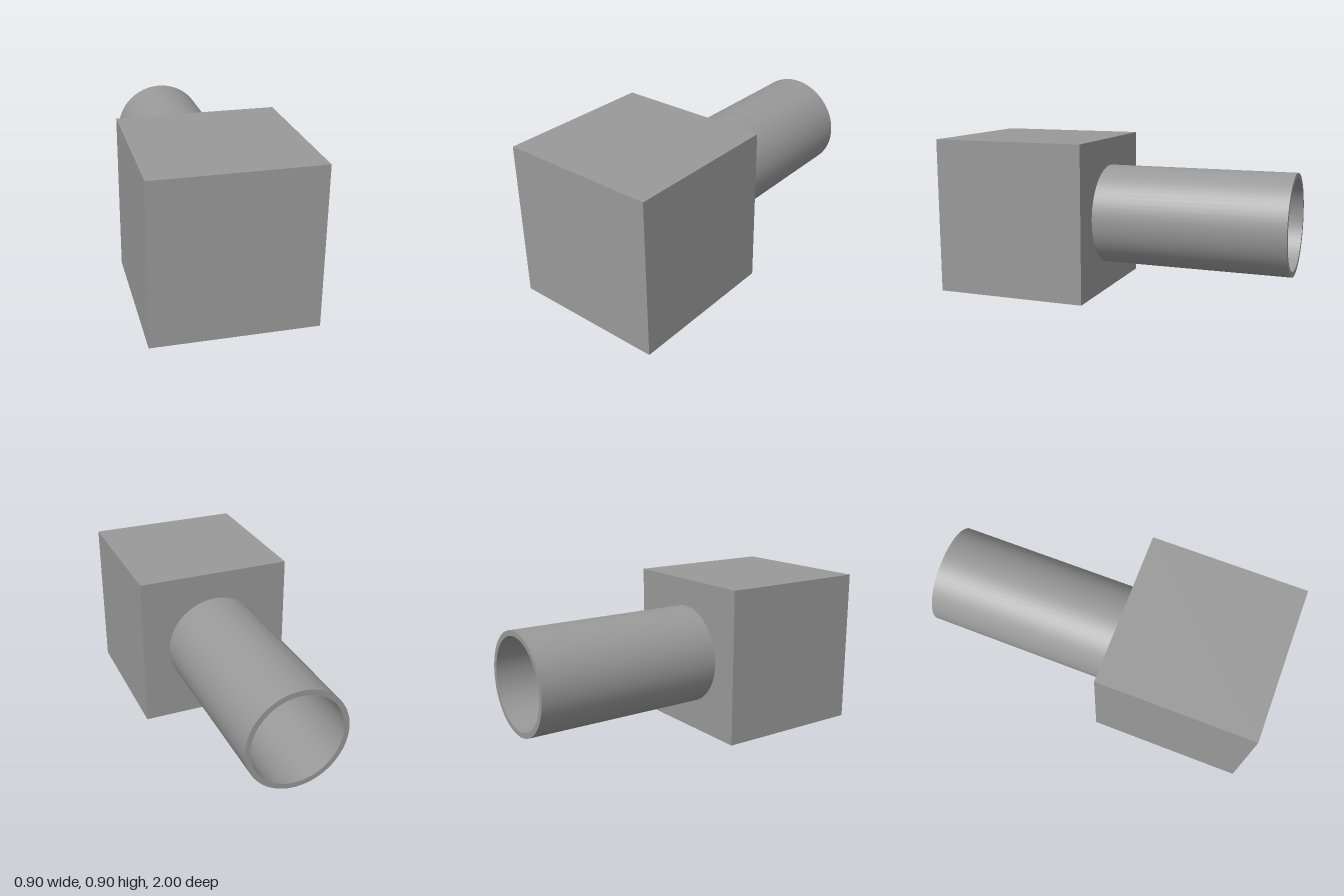
import * as THREE from 'three';
import { mergeGeometries } from 'three/addons/utils/BufferGeometryUtils.js';

export function createModel() {
  const model = new THREE.Group();
  model.name = 'blockWithTube';
  const grey = new THREE.MeshStandardMaterial({ color: 0x999999 });
  grey.name = 'grey';

  const size = 0.9, outer = 0.29, inner = 0.26;
  const length = 1.1; // tube reach behind the block

  // Cube at the front
  const block = new THREE.Mesh(new THREE.BoxGeometry(size, size, size), grey);
  block.name = 'block';
  block.position.set(0, size / 2, 1 - size / 2);
  model.add(block);

  // Hollow tube: outer wall, end rim and bore, lathed separately to keep the rim sharp
  const profile = [[outer, 0], [outer, length], [inner, length], [inner, 0]]
    .map(([r, y]) => new THREE.Vector2(r, y));
  const walls = [0, 1, 2].map(i => new THREE.LatheGeometry(profile.slice(i, i + 2), 64));
  const tube = new THREE.Mesh(mergeGeometries(walls), grey);
  tube.name = 'tube';
  tube.rotation.x = -Math.PI / 2;
  tube.position.set(0, size / 2, 1 - size);
  model.add(tube);

  return model;
}
